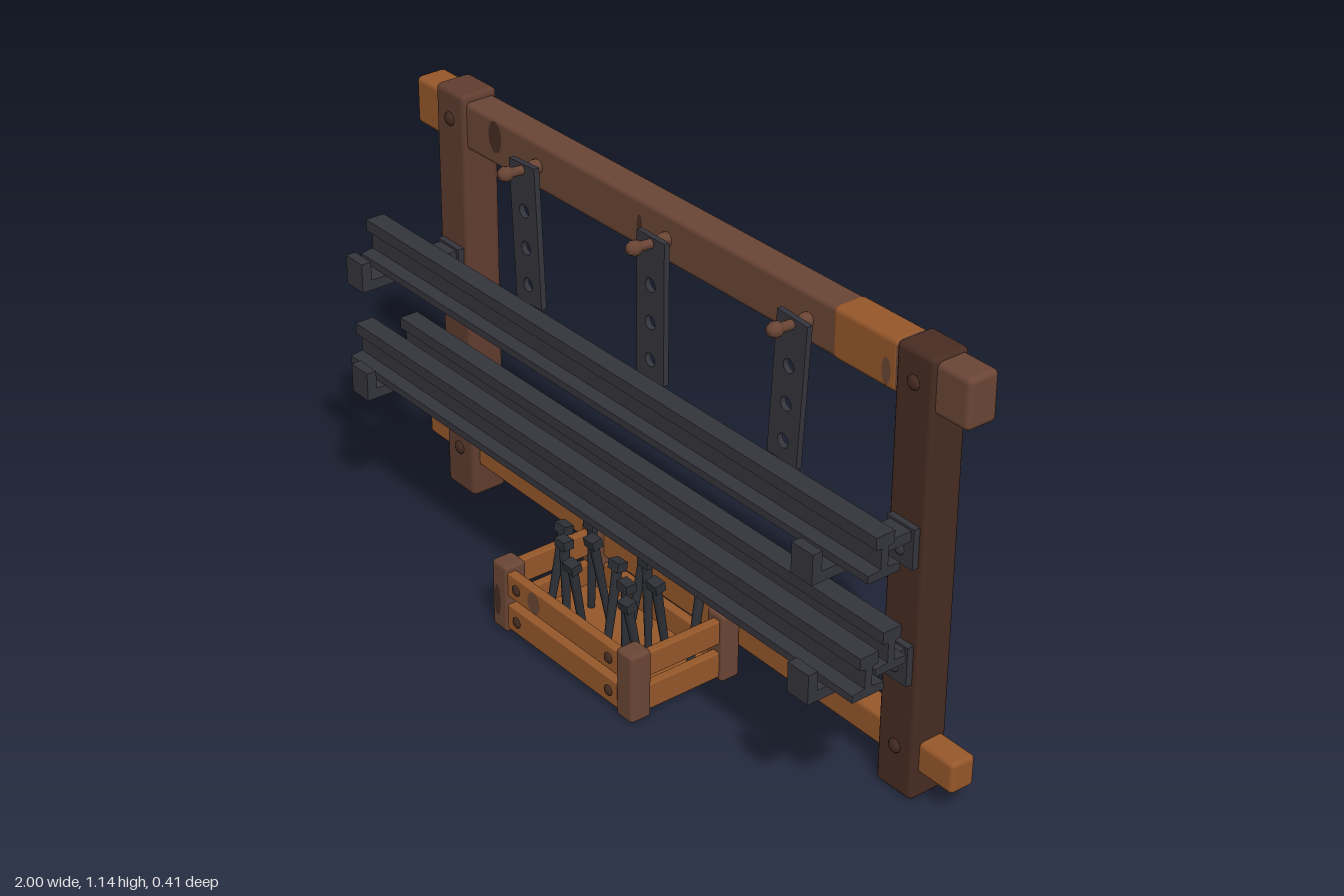
import * as THREE from 'three';
import { RoundedBoxGeometry } from 'three/addons/geometries/RoundedBoxGeometry.js';

const mat = (name, color) => {
  const m = new THREE.MeshStandardMaterial({ color });
  m.name = name;
  return m;
};

export function createModel() {
  const brown = mat('brown wood', 0x6a4535);
  const postBrown = mat('post wood', 0x603d2f);
  const dark = mat('dark wood', 0x472c22);
  const orange = mat('orange wood', 0x96572a);
  const iron = mat('iron', 0x34343c);
  const steel = mat('spike iron', 0x2d3036);
  const boltBrown = mat('bolt', 0x432a20);

  const model = new THREE.Group();
  const add = (parent, name, geo, material, x = 0, y = 0, z = 0) => {
    const m = new THREE.Mesh(geo, material);
    m.name = name;
    m.position.set(x, y, z);
    parent.add(m);
    return m;
  };
  const group = (name, parent = model) => {
    const g = new THREE.Group();
    g.name = name;
    parent.add(g);
    return g;
  };
  // box given by its limits, with softened edges when r > 0
  const block = (parent, name, material, [x0, x1], [y0, y1], [z0, z1], r = 0) => {
    const s = [x1 - x0, y1 - y0, z1 - z0];
    const geo = r ? new RoundedBoxGeometry(...s, 2, r) : new THREE.BoxGeometry(...s);
    return add(parent, name, geo, material, (x0 + x1) / 2, (y0 + y1) / 2, (z0 + z1) / 2);
  };
  // domed bolt head facing +z
  const bolt = (parent, material, x, y, z, r) => {
    const geo = new THREE.SphereGeometry(r, 10, 4, 0, Math.PI * 2, 0, Math.PI / 2);
    geo.scale(1, 0.6, 1).rotateX(Math.PI / 2);
    return add(parent, 'bolt', geo, material, x, y, z);
  };
  // thin oval wood stain facing +z, or -z when back is set
  const stain = (parent, x, y, z, rx, ry, back = false, material = dark) => {
    const geo = new THREE.CircleGeometry(1, 14).scale(rx, ry, 1);
    if (back) geo.rotateY(Math.PI);
    return add(parent, 'woodStain', geo, material, x, y, z);
  };

  // Frame posts
  const frame = group('frame');
  for (const s of [-1, 1]) {
    const x = s * 0.834;
    block(frame, 'post', s > 0 ? dark : postBrown, [x - 0.059, x + 0.059], [0, 1.137], [-0.208, -0.105], 0.014);
    for (const y of [1.06, 0.125]) bolt(frame, boltBrown, x, y, -0.106, 0.019);
  }

  // Top beam with bare orange sections
  const top = group('topBeam', frame);
  top.position.set(0, 1.06, -0.158);
  top.rotation.z = 0.005;
  block(top, 'beam', brown, [-0.85, 0.99], [-0.063, 0.063], [-0.043, 0.043], 0.014);
  block(top, 'bareEnd', orange, [-0.99, -0.82], [-0.063, 0.063], [-0.043, 0.043], 0.014);
  block(top, 'bareSection', orange, [0.565, 0.775], [-0.0645, 0.0645], [-0.0445, 0.0445], 0.014);
  stain(top, -0.66, 0.015, 0.0436, 0.026, 0.042);
  stain(top, -0.1, -0.005, 0.0436, 0.01, 0.028);
  stain(top, 0.74, -0.02, 0.0452, 0.014, 0.034, false, brown);
  stain(top, 0.7, -0.02, -0.0452, 0.016, 0.036, true, brown);
  stain(top, -0.62, 0.01, -0.0436, 0.02, 0.035, true);

  // Bottom beam
  const low = block(frame, 'bottomBeam', orange, [-1, 1], [0.08, 0.163], [-0.196, -0.126], 0.012);
  low.rotation.z = -0.0095;

  // Hanging straps, each held by a turned peg
  const strapShape = new THREE.Shape([[-0.05, 0.02], [-0.05, -0.348], [0.05, -0.348], [0.05, 0.02]]
    .map(p => new THREE.Vector2(...p)));
  for (const y of [-0.103, -0.2, -0.297]) {
    strapShape.holes.push(new THREE.Path().absarc(0, y, 0.018, 0, Math.PI * 2, true));
  }
  const strapGeo = new THREE.ExtrudeGeometry(strapShape, { depth: 0.015, bevelEnabled: false, curveSegments: 8 });
  const pegGeo = new THREE.LatheGeometry([
    [0.018, -0.012], [0.018, 0.012], [0.012, 0.03], [0.012, 0.078], [0.018, 0.086],
    [0.019, 0.1], [0.013, 0.112], [0, 0.115],
  ].map(p => new THREE.Vector2(...p)), 10).rotateX(Math.PI / 2);
  [-1, 0, 1].forEach(s => {
    const g = group('strapAndPeg');
    g.position.set(s * 0.488, 1.06, 0);
    const strap = add(g, 'strap', strapGeo, iron, 0, 0, -0.082);
    strap.rotation.z = -s * 0.06;
    strap.rotation.z *= -1;
    if (s) strap.rotation.z = s < 0 ? 0.06 : -0.06;
    add(g, 'peg', pegGeo, brown, 0, 0, -0.115).rotation.x = -0.07;
  });

  // Rails: I-shaped section run along x
  const half = [[0.045, 0], [0.045, 0.019], [0.01, 0.023], [0.01, 0.073], [0.026, 0.076], [0.026, 0.106]];
  const outline = [...half, ...half.map(([a, b]) => [-a, b]).reverse()];
  const railShape = new THREE.Shape(outline.map(p => new THREE.Vector2(...p)));
  const rail = (x0, x1, y, z) => {
    const geo = new THREE.ExtrudeGeometry(railShape, { depth: x1 - x0, bevelEnabled: false });
    add(model, 'rail', geo.rotateY(Math.PI / 2), iron, x0, y, z);
  };
  rail(-0.905, 0.966, 0.716, 0.08);
  rail(-0.952, 0.95, 0.411, 0.095);
  rail(-0.907, 0.907, 0.411, -0.01);

  // Brackets carrying the rails
  for (const y of [0.716, 0.411]) {
    for (const s of [-1, 1]) {
      const g = group('bracket');
      g.position.set(s * 0.834, y, 0);
      block(g, 'arm', iron, [-0.034, 0.034], [-0.027, 0], [-0.09, 0.193]);
      block(g, 'lip', iron, [-0.034, 0.034], [-0.005, 0.05], [0.166, 0.193]);
      block(g, 'plate', iron, [-0.043, 0.043], [-0.097, 0.006], [-0.106, -0.088]);
      bolt(g, iron, 0, -0.061, -0.089, 0.016);
    }
  }

  // Crate
  const crate = group('crate');
  for (const s of [-1, 1]) {
    const xs = s < 0 ? [-0.273, -0.213] : [0.213, 0.273];
    block(crate, 'frontCorner', brown, xs, [0, 0.187], [0.142, 0.203], 0.01);
    block(crate, 'backCorner', brown, xs, [0, 0.187], [-0.126, -0.07], 0.01);
  }
  for (const [y0, y1] of [[0.106, 0.172], [0.012, 0.082]]) {
    for (const s of [-1, 1]) {
      const xs = s < 0 ? [-0.262, -0.238] : [0.238, 0.262];
      block(crate, 'sideSlat', orange, xs, [y0, y1], [-0.1, 0.17], 0.004);
      bolt(crate, boltBrown, s * 0.18, (y0 + y1) / 2, 0.197, 0.015);
      bolt(crate, boltBrown, s * 0.18, (y0 + y1) / 2, -0.12, 0.015).rotation.y = Math.PI;
    }
    block(crate, 'frontSlat', orange, [-0.23, 0.23], [y0, y1], [0.172, 0.198], 0.004);
    block(crate, 'backSlat', orange, [-0.23, 0.23], [y0, y1], [-0.121, -0.095], 0.004);
  }
  block(crate, 'floor', orange, [-0.24, 0.24], [0.006, 0.022], [-0.1, 0.18]);
  add(crate, 'woodStain', new THREE.CircleGeometry(1, 14).scale(0.12, 0.06, 1).rotateX(Math.PI / 2), dark, -0.06, 0.005, 0.06);
  stain(crate, -0.11, 0.139, 0.1986, 0.025, 0.03, false, brown);
  stain(crate, -0.25, 0.08, 0.2036, 0.012, 0.045);

  // Spikes fanned out in two rows
  const shaftGeo = new THREE.CylinderGeometry(0.013, 0.009, 0.24, 8).translate(0, 0.12, 0);
  const headGeo = new THREE.BoxGeometry(0.038, 0.024, 0.029).translate(0, 0.25, 0);
  [0.095, -0.01].forEach((z, row) => {
    for (let i = 0; i < 6; i++) {
      const spike = group('spike', crate);
      spike.position.set(-0.19 + row * 0.035 + i * 0.075, 0.014, z);
      spike.rotation.set(((i + row) % 3 - 1) * 0.18, 0, (i % 2 - 0.5) * 0.06);
      add(spike, 'shaft', shaftGeo, steel);
      add(spike, 'head', headGeo, steel);
    }
  });

  return model;
}
